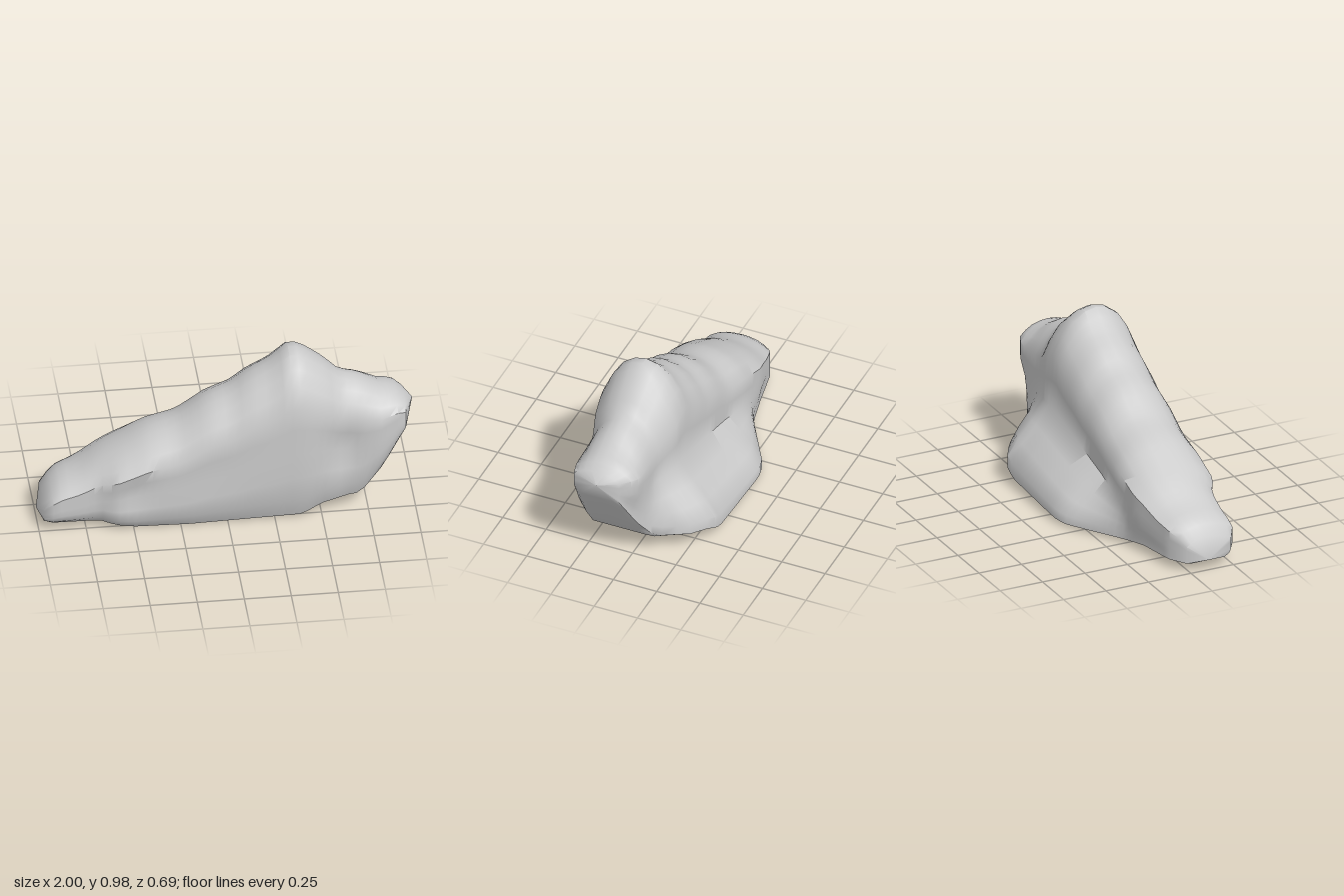
import * as THREE from 'three';
import { toCreasedNormals } from 'three/addons/utils/BufferGeometryUtils.js';

const CENTER = 0.105;
const START = -0.97;
const END = 0.95;
const STEPS = 44;

// Piecewise curve through [x, value] points
const curve = (points) => (x) => {
  const i = Math.max(1, points.findIndex(([px]) => px >= x - 1e-6));
  const [x0, v0] = points[i - 1];
  const [x1, v1] = points[i];
  return THREE.MathUtils.mapLinear(x, x0, x1, v0, v1);
};
const bump = (x, at, width) => Math.exp(-(((x - at) / width) ** 2));

// Silhouettes along the length: ridge and base heights
const ridge = curve([
  [-0.97, 0.18], [-0.95, 0.22], [-0.88, 0.27], [-0.78, 0.31], [-0.66, 0.39], [-0.42, 0.525],
  [-0.25, 0.58], [-0.09, 0.7], [0.04, 0.755], [0.13, 0.83], [0.24, 0.89], [0.34, 0.98],
  [0.4, 0.975], [0.53, 0.875], [0.61, 0.795], [0.71, 0.77], [0.83, 0.7], [0.89, 0.695], [0.95, 0.65],
]);
const base = curve([
  [-0.97, 0.045], [-0.66, 0.04], [-0.5, 0.01], [-0.2, 0.003], [0.4, 0.02],
  [0.5, 0.075], [0.71, 0.105], [0.83, 0.27], [0.95, 0.48],
]);

// Depth of the front face, the upper back wall and the foot behind it
const frontDepth = curve([
  [-0.97, 0.25], [-0.93, 0.28], [-0.68, 0.28], [-0.6, 0.33], [0.4, 0.333],
  [0.53, 0.315], [0.64, 0.28], [0.83, 0.28], [0.95, 0.25],
]);
const backDepth = curve([
  [-0.97, -0.01], [-0.88, -0.07], [-0.6, -0.14], [-0.4, -0.14], [-0.2, -0.12],
  [0.48, -0.13], [0.62, -0.08], [0.89, -0.08], [0.95, -0.01],
]);
const footDepth = curve([
  [-0.97, -0.01], [-0.88, -0.07], [-0.5, -0.14], [-0.17, -0.34], [-0.09, -0.355],
  [0.48, -0.35], [0.6, -0.27], [0.71, -0.11], [0.95, -0.01],
]);
const waistHeight = curve([[-0.97, 0.1], [-0.25, 0.25], [0.4, 0.43], [0.71, 0.42], [0.95, 0.55]]);

// One outline, from the crown down the front, under the base and up the back
function section(x) {
  const top = ridge(x);
  const bottom = base(x);
  const front = frontDepth(x);
  const back = backDepth(x);
  const foot = footDepth(x);
  const waist = waistHeight(x);
  const dent = 0.03 * bump(x, -0.5, 0.12) + 0.04 * bump(x, 0.61, 0.1) + 0.012 * bump(x, -0.1, 0.25);
  const h = top - bottom;
  const footTop = bottom + 0.11 * h;
  const dome = [[0.28, 0.015], [0.57, 0.065], [0.8, 0.15], [1, 0.26]];
  const shoulder = (z) => dome.map(([s, d]) => [CENTER + (z - CENTER) * s, top - d * h]);
  const slope = (t, s) => [back + (foot - back) * s, waist + (footTop - waist) * t];
  return [
    [CENTER, top],
    ...shoulder(front),
    [front - dent * 0.5, top - 0.4 * h],
    [front - dent, top - 0.56 * h],
    [front - dent * 0.3, top - 0.72 * h],
    [front - 0.01, top - 0.87 * h],
    [CENTER + (front - CENTER) * 0.75, bottom],
    [CENTER, bottom],
    [foot + 0.02 + 0.1 * (CENTER - foot), bottom],
    [foot, bottom + 0.03 * h],
    slope(1, 1), slope(0.68, 0.72), slope(0.36, 0.36), slope(0, 0),
    [back, (waist + top - 0.26 * h) / 2],
    ...shoulder(back).reverse(),
  ];
}

// Skin the outlines and close both ends to a blunt point
function loft(leftTip, rightTip) {
  const positions = [];
  const index = [];
  const n = section(0).length;
  for (let i = 0; i <= STEPS; i++) {
    const x = START + ((END - START) * i) / STEPS;
    section(x).forEach(([z, y]) => positions.push(x, y, z));
  }
  positions.push(...leftTip, ...rightTip);
  const last = STEPS * n;
  const tip = last + n;
  for (let j = 0; j < n; j++) {
    const k = (j + 1) % n;
    for (let r = 0; r < last; r += n) {
      index.push(r + j, r + k, r + n + j, r + k, r + n + k, r + n + j);
    }
    index.push(tip, k, j, last + j, last + k, tip + 1);
  }
  const geometry = new THREE.BufferGeometry();
  geometry.setAttribute('position', new THREE.Float32BufferAttribute(positions, 3));
  geometry.setIndex(index);
  return toCreasedNormals(geometry, 0.8);
}

export function createModel() {
  const group = new THREE.Group();
  group.name = 'rock';
  const boulder = new THREE.Mesh(
    loft([-1, 0.06, 0.105], [1, 0.6, 0.1]),
    new THREE.MeshStandardMaterial({ color: 0xcccccc }),
  );
  boulder.name = 'boulder';
  group.add(boulder);
  return group;
}
